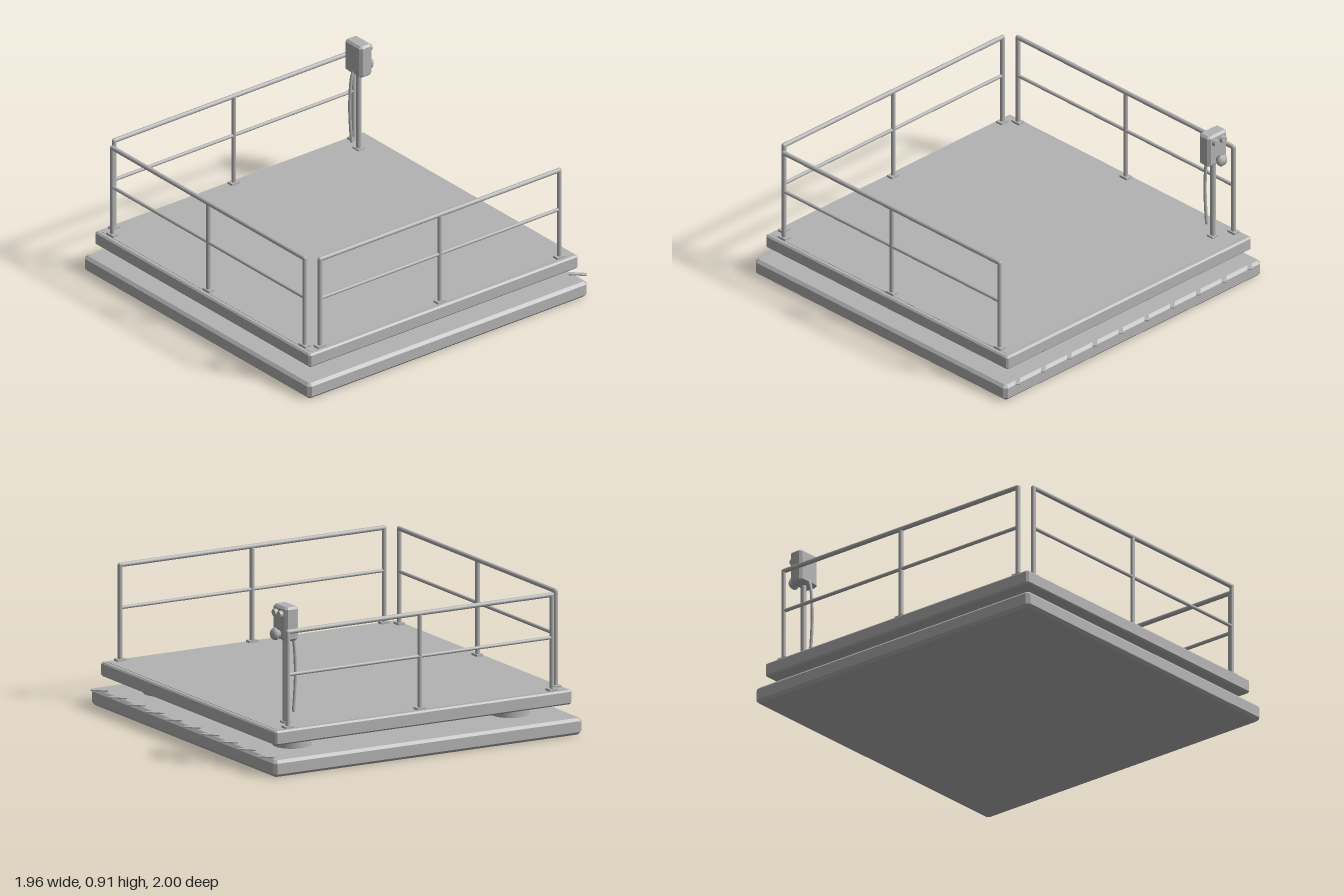
import * as THREE from 'three';

const grey = new THREE.MeshStandardMaterial({ color: 0xb3b3b3 });
grey.name = 'platform grey';

const DECK_TOP = 0.247, MID_Z = 0.02;

function add(parent, name, geometry, x = 0, y = 0, z = 0) {
  const mesh = new THREE.Mesh(geometry, grey);
  mesh.name = name;
  mesh.position.set(x, y, z);
  parent.add(mesh);
  return mesh;
}

// Box with every edge cut by c, centred in x and z, standing on y = 0
function chamferBox(w, h, d, c) {
  const a = w / 2 - c, b = d / 2 - c, k = c * 0.6;
  const shape = new THREE.Shape([
    [a - k, -b], [a, -b + k], [a, b - k], [a - k, b],
    [-a + k, b], [-a, b - k], [-a, -b + k], [-a + k, -b],
  ].map(([x, y]) => new THREE.Vector2(x, y)));
  const geo = new THREE.ExtrudeGeometry(shape, {
    depth: h - 2 * c, bevelEnabled: true, bevelSegments: 1, bevelSize: c, bevelThickness: c,
  });
  return geo.rotateX(-Math.PI / 2).translate(0, c, 0);
}

// Guard rail along local x: three posts with feet, a hand rail and a knee rail
function guardRail(name, reach) {
  const rail = new THREE.Group();
  rail.name = name;
  const r = 0.013, top = 0.797;
  for (const x of [-reach, 0, reach]) {
    add(rail, 'railFoot', new THREE.BoxGeometry(0.056, 0.012, 0.04), x, DECK_TOP + 0.006, 0);
    const h = top - r - DECK_TOP;
    add(rail, 'railPost', new THREE.CylinderGeometry(r, r, h, 14), x, DECK_TOP + h / 2, 0);
  }
  // Round elbows where the hand rail meets the end posts
  for (const x of [-reach, reach]) {
    add(rail, 'railElbow', new THREE.SphereGeometry(r, 14, 10), x, top - r, 0);
  }
  add(rail, 'handRail', new THREE.CylinderGeometry(r, r, reach * 2, 14).rotateZ(Math.PI / 2), 0, top - r, 0);
  add(rail, 'kneeRail', new THREE.CylinderGeometry(0.01, 0.01, reach * 2, 12).rotateZ(Math.PI / 2), 0, 0.544, 0);
  return rail;
}

function controlStand() {
  const stand = new THREE.Group();
  stand.name = 'controlStand';
  const x = -0.787;
  add(stand, 'standFoot', new THREE.BoxGeometry(0.05, 0.01, 0.045), x, DECK_TOP + 0.005, -0.77);
  add(stand, 'standPost', new THREE.CylinderGeometry(0.016, 0.016, 0.48, 14), x, DECK_TOP + 0.24, -0.77);
  add(stand, 'controlBox', chamferBox(0.145, 0.19, 0.085, 0.012), x, 0.717, -0.769);

  // Buttons and a mushroom stop knob on the back face
  for (const dx of [-0.028, 0.028]) {
    add(stand, 'button', new THREE.CylinderGeometry(0.019, 0.021, 0.022, 16).rotateX(-Math.PI / 2), x + dx, 0.865, -0.82);
  }
  const knob = [[0, 0], [0.02, 0], [0.02, 0.02], [0.034, 0.024], [0.034, 0.036], [0.022, 0.05], [0, 0.053]]
    .map(([r, y]) => new THREE.Vector2(r, y));
  add(stand, 'stopKnob', new THREE.LatheGeometry(knob, 20).rotateX(-Math.PI / 2), x, 0.752, -0.808);

  // Hanging cable
  const path = new THREE.CatmullRomCurve3([
    [0.74, -0.735], [0.7, -0.72], [0.55, -0.708], [0.43, -0.711], [0.31, -0.72],
  ].map(([y, z]) => new THREE.Vector3(x, y, z)));
  add(stand, 'cable', new THREE.TubeGeometry(path, 24, 0.009, 10));
  add(stand, 'cableEnd', new THREE.SphereGeometry(0.009, 10, 8), x, 0.31, -0.72);
  return stand;
}

export function createModel() {
  const model = new THREE.Group();
  model.name = 'liftPlatform';

  // Base slab and deck
  add(model, 'baseSlab', chamferBox(1.964, 0.093, 1.955, 0.016), 0, 0, 0.022);
  add(model, 'deck', chamferBox(1.872, 0.08, 1.878, 0.009), 0, 0.165, MID_Z - 0.002);
  add(model, 'deckPlate', new THREE.BoxGeometry(1.82, 0.006, 1.826), 0, DECK_TOP - 0.003, MID_Z - 0.002);

  // Support pads between the slabs
  for (const x of [-0.69, 0.69]) {
    for (const z of [-0.672, 0.708]) {
      add(model, 'supportPad', new THREE.CylinderGeometry(0.107, 0.107, 0.085, 32), x, 0.129, z);
    }
  }

  // Slanted strips along the back edge
  for (let i = 0; i < 10; i++) {
    const strip = add(model, 'backStrip', new THREE.BoxGeometry(0.098, 0.007, 0.025), -0.888 + i * 0.1973, 0.0985, -0.953);
    strip.rotation.y = Math.PI / 4;
  }

  // Guard rails on the front and both sides
  const front = guardRail('frontRail', 0.835);
  front.position.z = 0.912;
  model.add(front);
  for (const side of [-1, 1]) {
    const rail = guardRail(side > 0 ? 'leftRail' : 'rightRail', 0.836);
    rail.rotation.y = Math.PI / 2;
    rail.position.set(side * 0.894, 0, 0.016);
    model.add(rail);
  }

  model.add(controlStand());
  return model;
}
